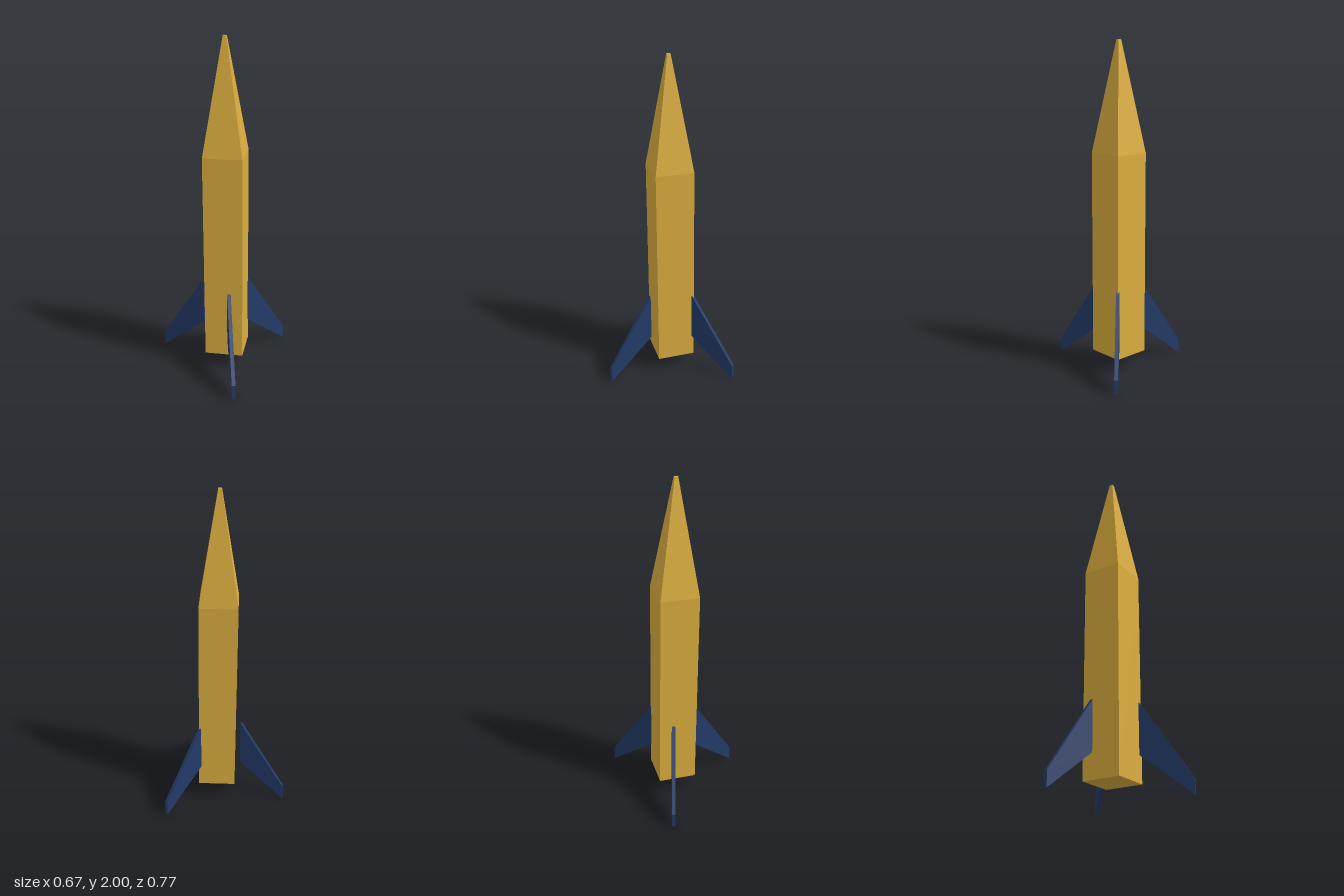
import * as THREE from 'three';

const AXIS_X = -0.107;   // rocket axis, offset because the three fins are not symmetric in x
const RADIUS = 0.161;
const FIN_THICKNESS = 0.022;

export function createModel() {
  const gold = new THREE.MeshStandardMaterial({ color: 0xdcae3f });
  gold.name = 'gold';
  gold.flatShading = true;
  const navy = new THREE.MeshStandardMaterial({ color: 0x243b69 });
  navy.name = 'navy';
  navy.flatShading = true;

  const rocket = new THREE.Group();
  rocket.name = 'rocket';
  rocket.position.x = AXIS_X;

  // Four-sided section standing between two heights
  const addSection = (name, bottomRadius, topRadius, y0, y1, openEnded) => {
    const geometry = new THREE.CylinderGeometry(topRadius, bottomRadius, y1 - y0, 4, 1, openEnded);
    const mesh = new THREE.Mesh(geometry, gold);
    mesh.name = name;
    mesh.position.y = (y0 + y1) / 2;
    rocket.add(mesh);
  };
  addSection('body', RADIUS, RADIUS, 0.095, 1.34, false);
  addSection('noseCone', RADIUS, 0.014, 1.34, 2, false);

  // Swept fin outline: distance from the axis, height
  const outline = new THREE.Shape([
    [0.152, 0.23], [0.44, 0], [0.44, 0.09], [0.152, 0.525],
  ].map(([r, y]) => new THREE.Vector2(r, y)));
  const finGeometry = new THREE.ExtrudeGeometry(outline, { depth: FIN_THICKNESS, bevelEnabled: false });
  finGeometry.translate(0, 0, -FIN_THICKNESS / 2);

  // Three fins evenly spaced around the axis
  ['leftFin', 'backFin', 'frontFin'].forEach((name, i) => {
    const fin = new THREE.Mesh(finGeometry, navy);
    fin.name = name;
    fin.rotation.y = (i * Math.PI * 2) / 3;
    rocket.add(fin);
  });

  const model = new THREE.Group();
  model.add(rocket);
  return model;
}
